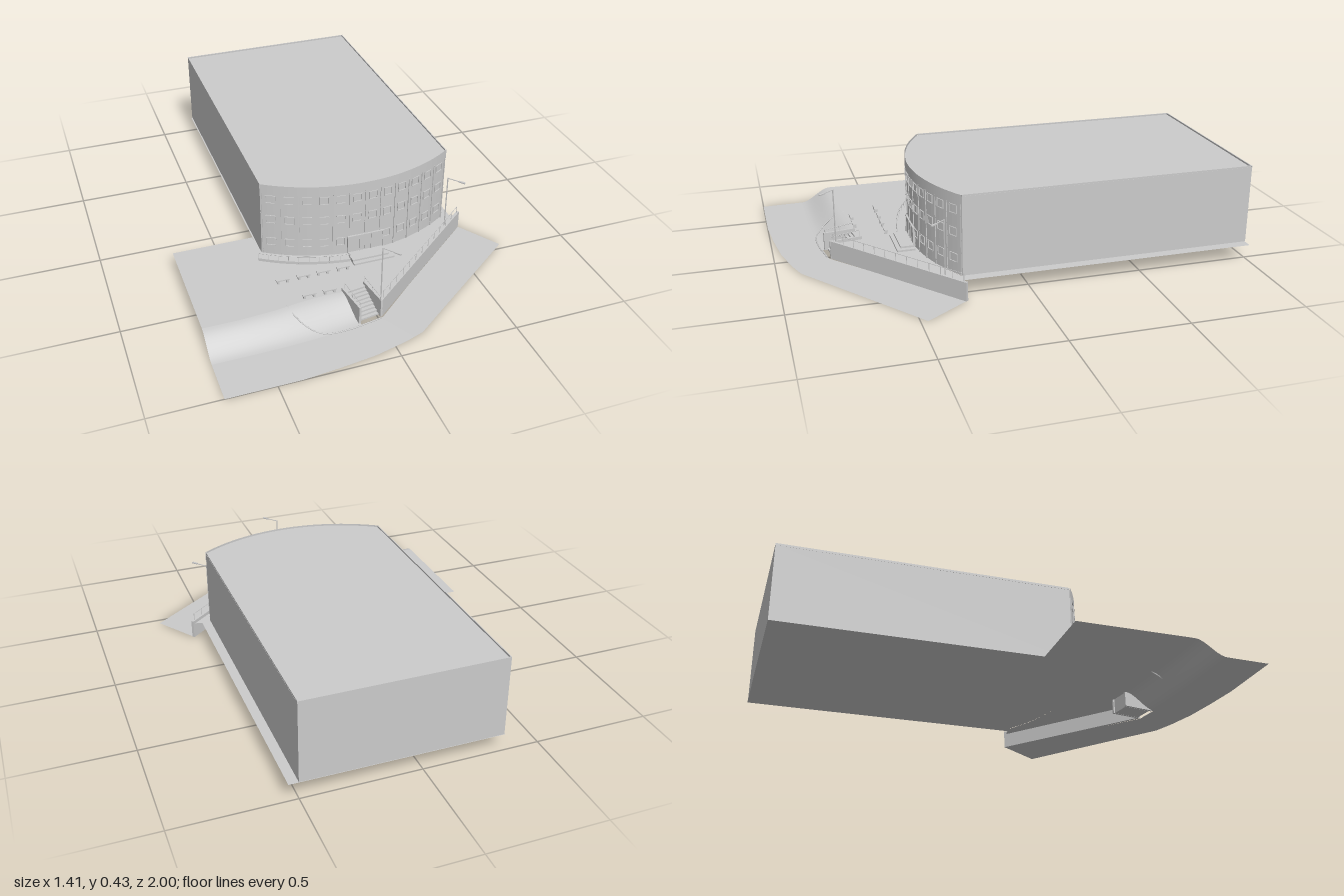
import * as THREE from 'three';

const mat = new THREE.MeshStandardMaterial({ color: 0xcccccc, side: THREE.DoubleSide });
const V = (x, y, z) => new THREE.Vector3(x, y, z);

// Facade arc: centre, radius and half angle
const CX = 0.078, CZ = -0.3415, R = 0.7515, HALF = 0.597;
const arcAngle = (x) => Math.asin((x - CX) / R);
const arcPoint = (a, e = 0, y = 0) => V(CX + (R + e) * Math.sin(a), y, CZ + (R + e) * Math.cos(a));
const arcXZ = (a0, a1, e = 0, n = 32) =>
  Array.from({ length: n + 1 }, (_, i) => arcPoint(a0 + (a1 - a0) * i / n, e)).map((p) => [p.x, p.z]);

function add(parent, name, geo) {
  const m = new THREE.Mesh(geo, mat);
  m.name = name;
  parent.add(m);
  return m;
}

function group(parent, name) {
  const g = new THREE.Group();
  g.name = name;
  parent.add(g);
  return g;
}

function box(parent, name, w, h, d, x, y, z, ry = 0) {
  const m = add(parent, name, new THREE.BoxGeometry(w, h, d));
  m.position.set(x, y, z);
  m.rotation.y = ry;
  return m;
}

// Plan outline in (x, z), flat at y0 or extruded up to y1
function plan(parent, name, pts, y0, y1 = y0) {
  const shape = new THREE.Shape(pts.map(([x, z]) => new THREE.Vector2(x, -z)));
  const geo = y1 > y0
    ? new THREE.ExtrudeGeometry(shape, { depth: y1 - y0, bevelEnabled: false })
    : new THREE.ShapeGeometry(shape);
  geo.rotateX(-Math.PI / 2).translate(0, y0, 0);
  return add(parent, name, geo);
}

// Surface lofted through rows of points
function loft(parent, name, rows) {
  const n = rows[0].length, pos = [], idx = [];
  rows.forEach((row) => row.forEach((p) => pos.push(p.x, p.y, p.z)));
  for (let r = 0; r < rows.length - 1; r++) {
    for (let c = 0; c < n - 1; c++) {
      const a = r * n + c, b = a + n;
      idx.push(a, b, a + 1, b, b + 1, a + 1);
    }
  }
  const geo = new THREE.BufferGeometry();
  geo.setAttribute('position', new THREE.Float32BufferAttribute(pos, 3));
  geo.setIndex(idx);
  geo.computeVertexNormals();
  return add(parent, name, geo);
}

function tube(parent, name, pts, r) {
  return add(parent, name, new THREE.TubeGeometry(new THREE.CatmullRomCurve3(pts), pts.length * 5, r, 6));
}

function arcBand(parent, name, e, y0, y1) {
  const geo = new THREE.CylinderGeometry(R + e, R + e, y1 - y0, 40, 1, true, -HALF, HALF * 2);
  add(parent, name, geo).position.set(CX, (y0 + y1) / 2, CZ);
}

function onFacade(parent, name, x, y, w, h, d) {
  const a = arcAngle(x), p = arcPoint(a, d / 2 - 0.001, y);
  box(parent, name, w, h, d, p.x, p.y, p.z, a);
}

export function createModel() {
  const model = new THREE.Group();
  model.name = 'buildingWithPlaza';

  // Main block with a curved front, base plate and roof rim
  const building = group(model, 'building');
  plan(building, 'block', [[-0.345, -1], ...arcXZ(-HALF, HALF), [0.5, -1]], 0.076, 0.42);
  plan(building, 'basePlate', [[-0.35, -1], [-0.35, 0.28], ...arcXZ(-HALF, HALF), [0.54, 0.3], [0.54, -1]], 0.074);
  arcBand(building, 'cornice', 0.003, 0.385, 0.427);
  box(building, 'backRim', 0.846, 0.01, 0.005, 0.078, 0.422, -0.9975);
  for (const x of [-0.3435, 0.4975]) box(building, 'sideRim', 0.004, 0.01, 1.28, x, 0.422, -0.36);

  // Facade grid: bands, mullions and framed windows
  const facade = group(building, 'facade');
  for (const y of [0.095, 0.175, 0.23, 0.285, 0.335, 0.38]) arcBand(facade, 'facadeBand', 0.002, y - 0.0025, y + 0.0025);
  for (let i = 0; i <= 12; i++) onFacade(facade, 'mullion', -0.34 + i * 0.0695, 0.23, 0.004, 0.31, 0.005);
  for (const y of [0.145, 0.258, 0.357]) {
    for (let i = 0; i < 12; i++) {
      const x = -0.307 + i * 0.0695;
      if (y < 0.2 && x > -0.01 && x < 0.17) continue;
      for (const s of [-1, 1]) {
        onFacade(facade, 'windowJamb', x + s * 0.018, y, 0.003, 0.036, 0.005);
        onFacade(facade, 'windowRail', x, y + s * 0.018, 0.039, 0.003, 0.005);
      }
    }
  }

  // Entrance and its landing
  const entrance = group(model, 'entrance');
  box(entrance, 'doorPanel', 0.16, 0.085, 0.008, 0.08, 0.123, 0.409);
  for (const x of [0, 0.053, 0.107, 0.16]) box(entrance, 'doorPost', 0.004, 0.085, 0.008, x, 0.123, 0.412);
  box(entrance, 'doorHead', 0.165, 0.004, 0.01, 0.08, 0.166, 0.412);
  box(entrance, 'lowerStep', 0.185, 0.008, 0.08, 0.0925, 0.074, 0.45);
  box(entrance, 'landing', 0.165, 0.01, 0.062, 0.0825, 0.081, 0.441);

  // Curved access ramp along the facade
  const ramp = group(model, 'accessRamp');
  const a0 = -HALF, a1 = arcAngle(0);
  plan(ramp, 'rampSlab', [...arcXZ(a0, a1, 0.005), ...arcXZ(a1, a0, 0.05)], 0.07, 0.083);
  const rampPts = Array.from({ length: 10 }, (_, i) => arcPoint(a0 + (a1 - a0) * i / 9, 0.049, 0.108));
  tube(ramp, 'rampHandrail', rampPts, 0.0015);
  for (const p of rampPts) box(ramp, 'rampPost', 0.002, 0.035, 0.002, p.x, 0.091, p.z);

  // Plaza deck
  const ground = group(model, 'ground');
  const crest = [[-0.705, 0.67], [-0.55, 0.67], [-0.4, 0.66], [-0.3, 0.645], [-0.2, 0.637], [-0.1, 0.637]];
  const foot = [[-0.705, 0.81], [-0.55, 0.81], [-0.4, 0.808], [-0.3, 0.803], [-0.2, 0.795], [-0.08, 0.78]];
  plan(ground, 'plaza', [[-0.705, 0.15], [-0.35, 0.15], ...arcXZ(-HALF, HALF, -0.005), [0.54, 0.28],
    [0.585, 0.29], [0.02, 0.755], [-0.005, 0.62], ...[...crest].reverse()], 0.07);

  // Bank rolling down to the road
  const slope = [];
  for (let i = 0; i <= 10; i++) {
    const t = i / 10, y = 0.07 - 0.067 * t * t * (3 - 2 * t);
    slope.push(crest.map(([x, z], k) => V(x + (foot[k][0] - x) * t, y, z + (foot[k][1] - z) * t)));
  }
  loft(ground, 'bank', slope);

  // Road strip bending round the corner
  const inner = [...foot, [0.02, 0.765], [0.2, 0.61], [0.588, 0.29]];
  const outer = [[-0.705, 1], [-0.55, 1], [-0.4, 1], [-0.24, 0.985], [-0.09, 0.965],
    [0.05, 0.93], [0.135, 0.9], [0.3, 0.775], [0.705, 0.47]];
  loft(ground, 'road', [inner.map(([x, z]) => V(x, 0.003, z)), outer.map(([x, z]) => V(x, 0, z))]);

  // Kerb climbing the bank
  tube(ground, 'kerb', [V(-0.35, 0.071, 0.645), V(-0.33, 0.05, 0.71), V(-0.29, 0.024, 0.76),
    V(-0.24, 0.008, 0.79), V(-0.15, 0.006, 0.797), V(0.01, 0.006, 0.772)], 0.003);

  // Retaining wall with railing
  const wall = group(model, 'retainingWall');
  wall.position.set(0.303, 0, 0.523);
  wall.rotation.y = Math.atan2(0.47, 0.57);
  box(wall, 'wall', 0.739, 0.083, 0.012, 0, 0.0435, -0.006);
  box(wall, 'railTop', 0.71, 0.002, 0.002, 0, 0.119, -0.006);
  for (let i = 0; i <= 12; i++) box(wall, 'railPost', 0.002, 0.035, 0.002, -0.354 + i * 0.059, 0.102, -0.006);

  // Street lamps leaning over the road
  for (const x of [-0.35, 0.25]) {
    const lamp = group(wall, 'streetLamp');
    lamp.position.set(x, 0, -0.018);
    box(lamp, 'lampPole', 0.004, 0.255, 0.004, 0, 0.197, 0);
    box(lamp, 'lampArm', 0.003, 0.003, 0.07, 0, 0.323, 0.035);
    box(lamp, 'lampHead', 0.009, 0.005, 0.028, 0, 0.323, 0.067);
  }

  // Stairs between side walls
  const stairs = group(model, 'stairs');
  stairs.position.set(-0.045, 0, 0.69);
  stairs.rotation.y = 0.15;
  const STEPS = 9;
  for (let i = 0; i < STEPS; i++) {
    const h = 0.07 * (i + 1) / STEPS, d = 0.125 / STEPS;
    box(stairs, 'step', 0.088, h, d, 0, h / 2 + 0.002, 0.0625 - d * (i + 0.5));
  }
  for (const s of [-1, 1]) {
    box(stairs, 'stairWall', 0.01, 0.082, 0.145, s * 0.05, 0.043, 0.004);
    tube(stairs, 'stairRail', [V(s * 0.046, 0.112, -0.06), V(s * 0.046, 0.1, 0.07)], 0.0015);
    for (const z of [-0.06, 0.005, 0.07]) box(stairs, 'stairRailPost', 0.002, 0.03, 0.002, s * 0.046, 0.092, z);
  }

  // Benches in two rows
  const spots = [[-0.32, 0.5], [-0.23, 0.5], [-0.143, 0.5], [-0.055, 0.5], [-0.248, 0.625], [-0.16, 0.625]];
  for (const [x, z] of spots) {
    const bench = group(model, 'bench');
    bench.position.set(x, 0.07, z);
    box(bench, 'benchSeat', 0.058, 0.005, 0.015, 0, 0.016, 0);
    for (const s of [-1, 1]) box(bench, 'benchLeg', 0.009, 0.015, 0.013, s * 0.02, 0.0075, 0);
  }
  return model;
}
